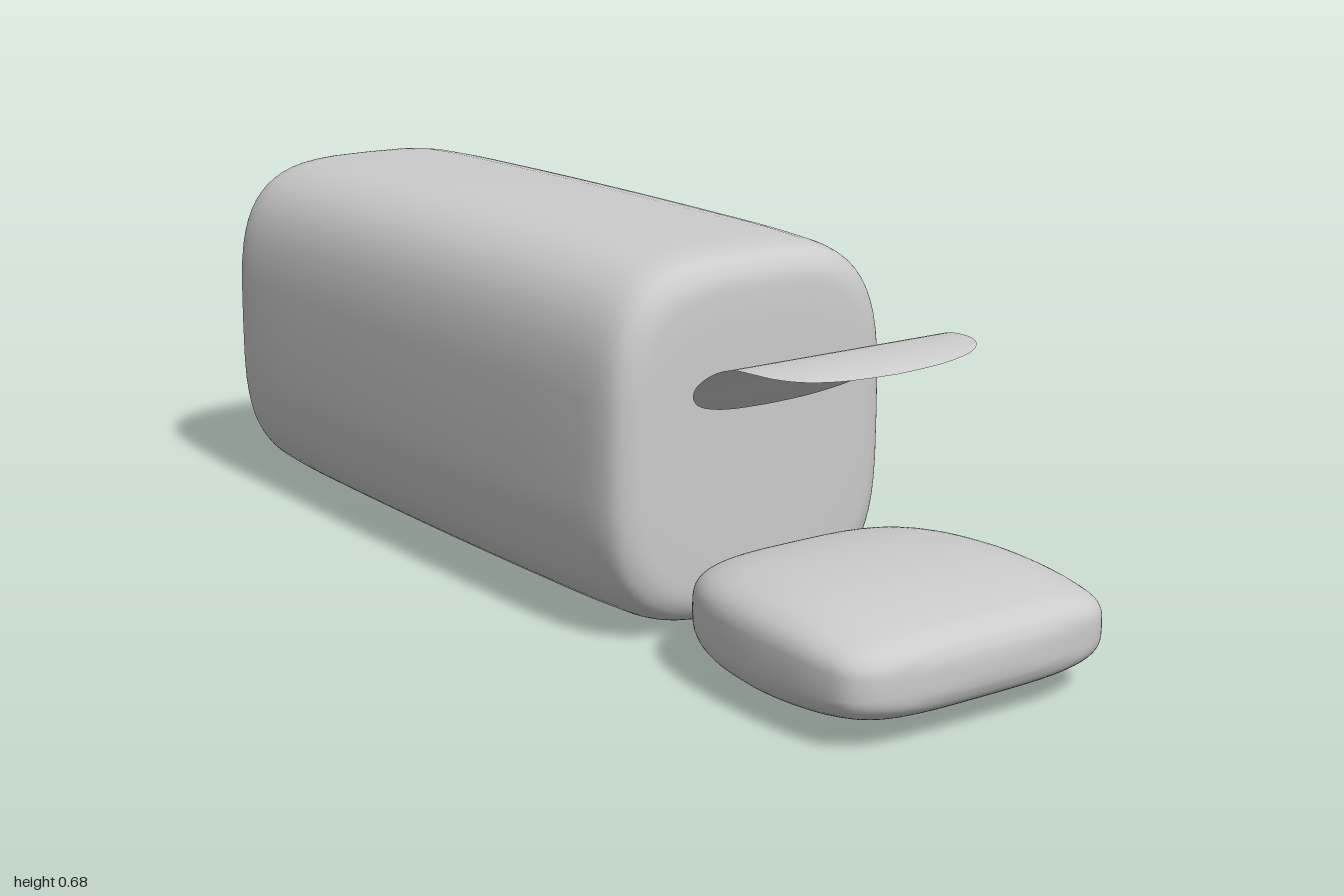
import * as THREE from 'three';

const V = (a) => new THREE.Vector3(...a);

// Surface over a grid of rows x cols; point(i, j) gives each vertex
function gridMesh(name, rows, cols, closed, point, side = THREE.FrontSide) {
  const pos = [], idx = [];
  const stride = closed ? cols : cols + 1;
  for (let i = 0; i <= rows; i++)
    for (let j = 0; j < stride; j++) pos.push(...point(i, j));
  for (let i = 0; i < rows; i++)
    for (let j = 0; j < cols; j++) {
      const k = (j + 1) % stride;
      const a = i * stride + j, b = i * stride + k;
      idx.push(a, b, a + stride, b, b + stride, a + stride);
    }
  const geo = new THREE.BufferGeometry();
  geo.setAttribute('position', new THREE.Float32BufferAttribute(pos, 3));
  geo.setIndex(idx);
  geo.computeVertexNormals();
  const mesh = new THREE.Mesh(geo, new THREE.MeshStandardMaterial({ color: 0xcccccc, side }));
  mesh.name = name;
  return mesh;
}

// Rounded-square sections lofted along x; stations are [x, half width, half height]
function cushion(name, stations, centreY, n = 3.5) {
  const rows = (stations.length - 1) * 5, cols = 64;
  const pts = new THREE.CatmullRomCurve3(stations.map(V)).getPoints(rows);
  const soft = (c) => Math.sign(c) * Math.abs(c) ** (2 / n);
  return gridMesh(name, rows, cols, true, (i, j) => {
    const t = (j / cols) * Math.PI * 2, p = pts[i];
    return [p.x, centreY + p.z * soft(Math.cos(t)), p.y * soft(Math.sin(t))];
  });
}

export function createModel() {
  const group = new THREE.Group();

  // Long body: one half of the end rounding, mirrored about its middle
  const mid = -0.305;
  const half = [[0.695, 0], [0.695, 0.4], [0.694, 0.72], [0.688, 0.85], [0.668, 0.93],
    [0.635, 0.965], [0.54, 0.985], [0.3, 0.996]];
  const profile = [
    ...half.map(([d, s]) => [mid - d, s]),
    [mid, 1],
    ...half.slice().reverse().map(([d, s]) => [mid + d, s]),
  ];
  group.add(cushion('body', profile.map(([x, s]) => [x, 0.31 * s, 0.339 * s]), 0.34));

  // Low pad beside the body, narrower at its inner end
  group.add(cushion('lowerPad', [
    [0.43, 0, 0], [0.434, 0.08, 0.016], [0.45, 0.15, 0.042], [0.48, 0.208, 0.066],
    [0.53, 0.245, 0.083], [0.6, 0.271, 0.094], [0.7, 0.287, 0.099], [0.8, 0.29, 0.096],
    [0.89, 0.286, 0.084], [0.95, 0.272, 0.07], [0.98, 0.235, 0.055],
    [0.994, 0.165, 0.036], [0.999, 0.08, 0.017], [1, 0, 0],
  ], 0.109));

  // Thin curved flap above the pad: stations are [x, y, half width]
  const flap = [
    [0.41, 0.405, 0], [0.414, 0.408, 0.07], [0.425, 0.416, 0.12], [0.445, 0.432, 0.17],
    [0.475, 0.458, 0.208], [0.51, 0.488, 0.228], [0.56, 0.52, 0.232], [0.61, 0.537, 0.232],
    [0.66, 0.54, 0.23], [0.695, 0.537, 0.215], [0.72, 0.532, 0.18], [0.734, 0.527, 0.12],
    [0.74, 0.525, 0.06], [0.742, 0.524, 0],
  ];
  const rows = (flap.length - 1) * 4, cols = 12;
  const pts = new THREE.CatmullRomCurve3(flap.map(V)).getPoints(rows);
  group.add(gridMesh('upperFlap', rows, cols, false,
    (i, j) => [pts[i].x, pts[i].y, pts[i].z * ((2 * j) / cols - 1)], THREE.DoubleSide));

  return group;
}
